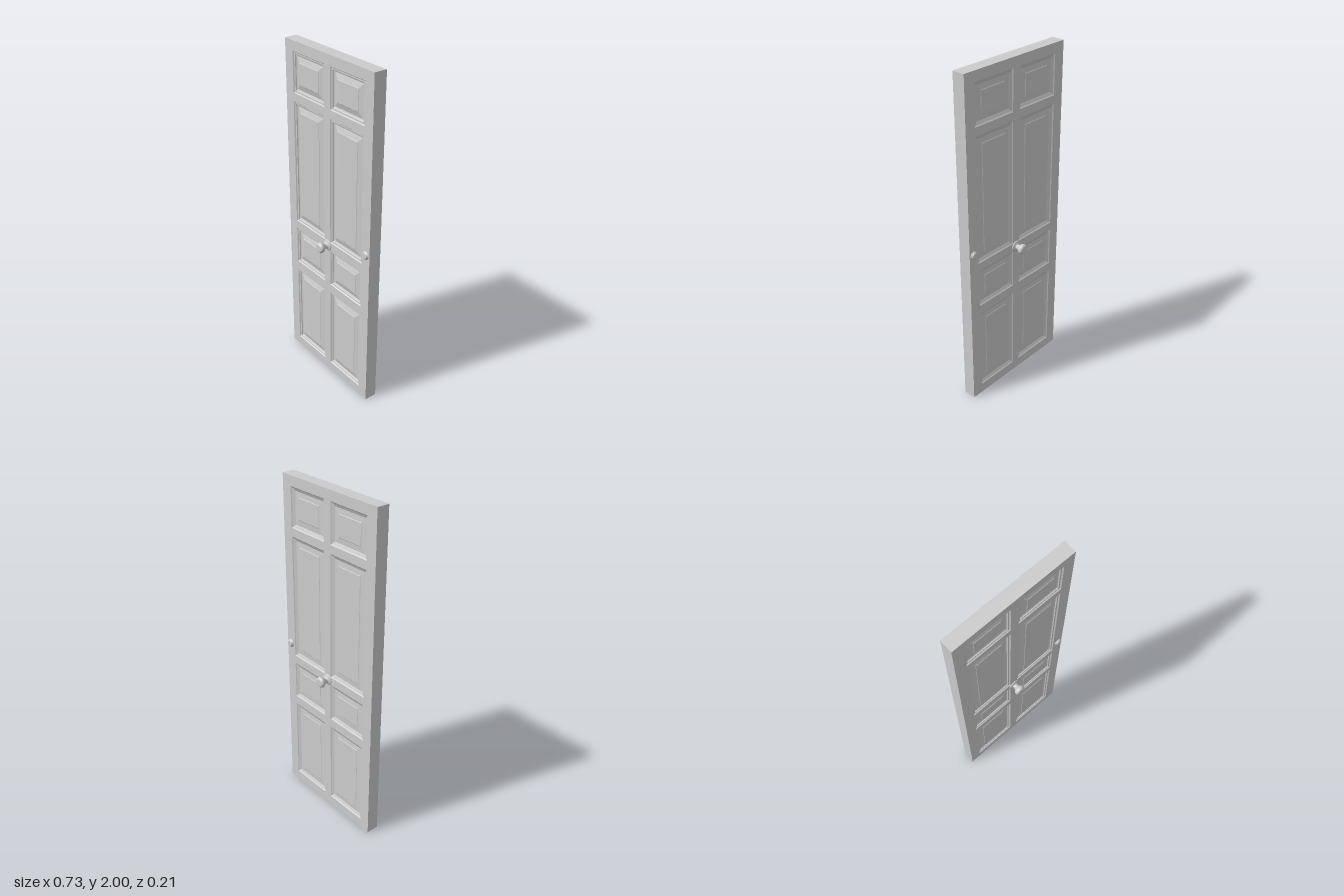
import * as THREE from 'three';

const HALF_W = 0.366, HEIGHT = 2, HALF_T = 0.0375;
const COLUMNS = [[-0.3, -0.025], [0.025, 0.3]];
const ROWS = [[0.06, 0.582], [0.637, 0.87], [0.92, 1.663], [1.712, 1.942]];

// Panel sections as [inset from the opening, height above the door's middle plane]
const FRONT_PROFILE = [[0, HALF_T], [0.005, 0.031], [0.013, 0.031], [0.016, 0.025], [0.024, 0.022], [0.054, 0.031], [0.056, 0.033]];
const BACK_PROFILE = [[0, HALF_T], [0.005, 0.033], [0.018, 0.027], [0.022, 0.025], [0.052, 0.027], [0.055, 0.029]];

const material = new THREE.MeshStandardMaterial({ color: 0xcccccc, roughness: 0.7 });

function add(parent, geometry, name) {
  const mesh = new THREE.Mesh(geometry, material);
  mesh.name = name;
  parent.add(mesh);
  return mesh;
}

// Nested rectangular loops joined by mitred strips, closed by a flat field
function panelGeometry(w, h, profile) {
  const loops = profile.map(([d, z]) => {
    const x = w / 2 - d, y = h / 2 - d;
    return [[-x, -y, z], [x, -y, z], [x, y, z], [-x, y, z]];
  });
  const positions = [];
  const quad = (a, b, c, d) => positions.push(...a, ...b, ...c, ...a, ...c, ...d);
  for (let i = 0; i < loops.length - 1; i++) {
    for (let k = 0; k < 4; k++) {
      const n = (k + 1) % 4;
      quad(loops[i][k], loops[i][n], loops[i + 1][n], loops[i + 1][k]);
    }
  }
  quad(...loops[loops.length - 1]);
  const geometry = new THREE.BufferGeometry();
  geometry.setAttribute('position', new THREE.Float32BufferAttribute(positions, 3));
  geometry.computeVertexNormals();
  return geometry;
}

// Turned part whose axis points out of the door face
function turned(points) {
  const geometry = new THREE.LatheGeometry(points.map(([r, z]) => new THREE.Vector2(r, z)), 32);
  return geometry.rotateX(Math.PI / 2);
}

function createFrame() {
  const shape = new THREE.Shape();
  shape.moveTo(-HALF_W, 0).lineTo(HALF_W, 0).lineTo(HALF_W, HEIGHT).lineTo(-HALF_W, HEIGHT).closePath();
  for (const [x0, x1] of COLUMNS) {
    for (const [y0, y1] of ROWS) {
      const hole = new THREE.Path();
      hole.moveTo(x0, y0).lineTo(x0, y1).lineTo(x1, y1).lineTo(x1, y0).closePath();
      shape.holes.push(hole);
    }
  }
  const geometry = new THREE.ExtrudeGeometry(shape, { depth: 2 * HALF_T, bevelEnabled: false });
  return geometry.translate(0, 0, -HALF_T);
}

export function createModel() {
  const door = new THREE.Group();
  door.name = 'panelledDoor';
  add(door, createFrame(), 'doorFrame');

  // Each face carries its own panels, knob and lock
  for (const side of ['front', 'back']) {
    const face = new THREE.Group();
    face.name = side + 'Face';
    const sign = side === 'front' ? 1 : -1;
    if (sign < 0) face.rotation.y = Math.PI;
    door.add(face);

    const profile = sign > 0 ? FRONT_PROFILE : BACK_PROFILE;
    for (const [x0, x1] of COLUMNS) {
      for (const [y0, y1] of ROWS) {
        const panel = add(face, panelGeometry(x1 - x0, y1 - y0, profile), side + 'Panel');
        panel.position.set((x0 + x1) / 2, (y0 + y1) / 2, 0);
      }
    }

    // Door knob: rose, waisted neck and rounded grip
    const neck = new THREE.SplineCurve([
      [0.026, 0.045], [0.0175, 0.05], [0.0155, 0.058], [0.02, 0.068], [0.028, 0.078],
      [0.031, 0.087], [0.0295, 0.095], [0.024, 0.101], [0.018, 0.103],
    ].map(([r, z]) => new THREE.Vector2(r, z))).getPoints(32);
    const knob = new THREE.Group();
    knob.name = side + 'Knob';
    knob.position.set(0, 0.895, 0);
    add(knob, turned([[0.034, 0.035], [0.034, 0.04], [0.031, 0.043], [0.026, 0.045], [0, 0.046]]), 'knobRose');
    add(knob, turned([...neck.map((p) => [p.x, p.y]), [0, 0.103]]), 'knobGrip');
    face.add(knob);

    // Lock cylinder near the opening edge
    const lock = add(face, turned([
      [0.024, 0.035], [0.024, 0.041], [0.018, 0.044], [0.018, 0.049], [0.016, 0.051], [0, 0.051],
    ]), side + 'Lock');
    lock.position.set(sign * 0.336, 0.99, 0);
  }
  return door;
}
